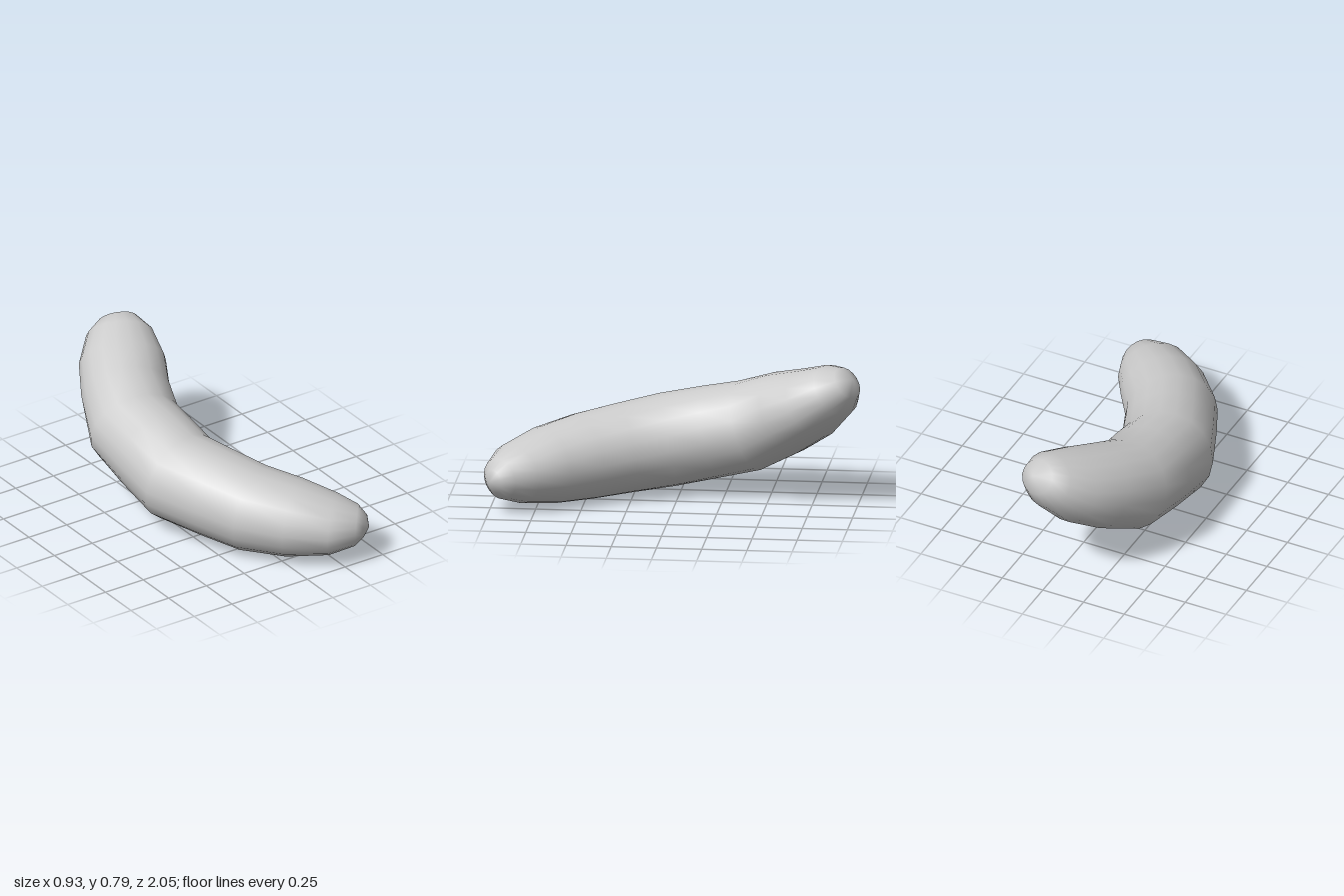
import * as THREE from 'three';

const SIDES = 18;

// Cross-sections from front to back: centre x, y, z, half width, half height
const SECTIONS = [
  [0.405, 0.2, 0.965, 0.07, 0.065],
  [0.37, 0.205, 0.935, 0.12, 0.115],
  [0.265, 0.21, 0.86, 0.2, 0.165],
  [0.115, 0.225, 0.7, 0.24, 0.215],
  [-0.03, 0.243, 0.51, 0.255, 0.24],
  [-0.12, 0.27, 0.31, 0.258, 0.25],
  [-0.215, 0.3, 0.075, 0.268, 0.26],
  [-0.215, 0.35, -0.16, 0.262, 0.257],
  [-0.21, 0.395, -0.38, 0.263, 0.252],
  [-0.13, 0.495, -0.59, 0.247, 0.232],
  [-0.04, 0.58, -0.755, 0.24, 0.198],
  [0.03, 0.675, -0.885, 0.185, 0.15],
  [0.06, 0.725, -0.95, 0.11, 0.095],
];
const FRONT_TIP = new THREE.Vector3(0.42, 0.2, 0.985);
const BACK_TIP = new THREE.Vector3(0.07, 0.75, -0.983);

// Skin of elliptical rings set square to the bent spine, closed by two tips
function bodyGeometry() {
  const centres = SECTIONS.map(([x, y, z]) => new THREE.Vector3(x, y, z));
  const spine = [FRONT_TIP, ...centres, BACK_TIP];
  const up = new THREE.Vector3(0, 1, 0);
  const positions = [];
  const index = [];

  SECTIONS.forEach(([, , , w, h], i) => {
    const along = spine[i + 2].clone().sub(spine[i]).normalize();
    const across = along.clone().cross(up).normalize();
    const rise = across.clone().cross(along);
    for (let j = 0; j < SIDES; j++) {
      const a = (j / SIDES) * Math.PI * 2;
      const p = centres[i].clone()
        .addScaledVector(across, w * Math.cos(a))
        .addScaledVector(rise, h * Math.sin(a));
      positions.push(p.x, p.y, p.z);
    }
  });

  const last = SECTIONS.length - 1;
  const front = SECTIONS.length * SIDES;
  const back = front + 1;
  positions.push(...FRONT_TIP.toArray(), ...BACK_TIP.toArray());

  for (let j = 0; j < SIDES; j++) {
    const k = (j + 1) % SIDES;
    index.push(front, j, k);
    for (let i = 0; i < last; i++) {
      const a = i * SIDES + j, b = i * SIDES + k;
      index.push(a, a + SIDES, b, b, a + SIDES, b + SIDES);
    }
    index.push(back, last * SIDES + k, last * SIDES + j);
  }

  const geometry = new THREE.BufferGeometry();
  geometry.setAttribute('position', new THREE.Float32BufferAttribute(positions, 3));
  geometry.setIndex(index);
  geometry.computeVertexNormals();
  return geometry;
}

export function createModel() {
  const group = new THREE.Group();
  group.name = 'curvedBean';
  const body = new THREE.Mesh(bodyGeometry(), new THREE.MeshStandardMaterial({ color: 0xcccccc }));
  body.name = 'body';
  group.add(body);
  return group;
}
